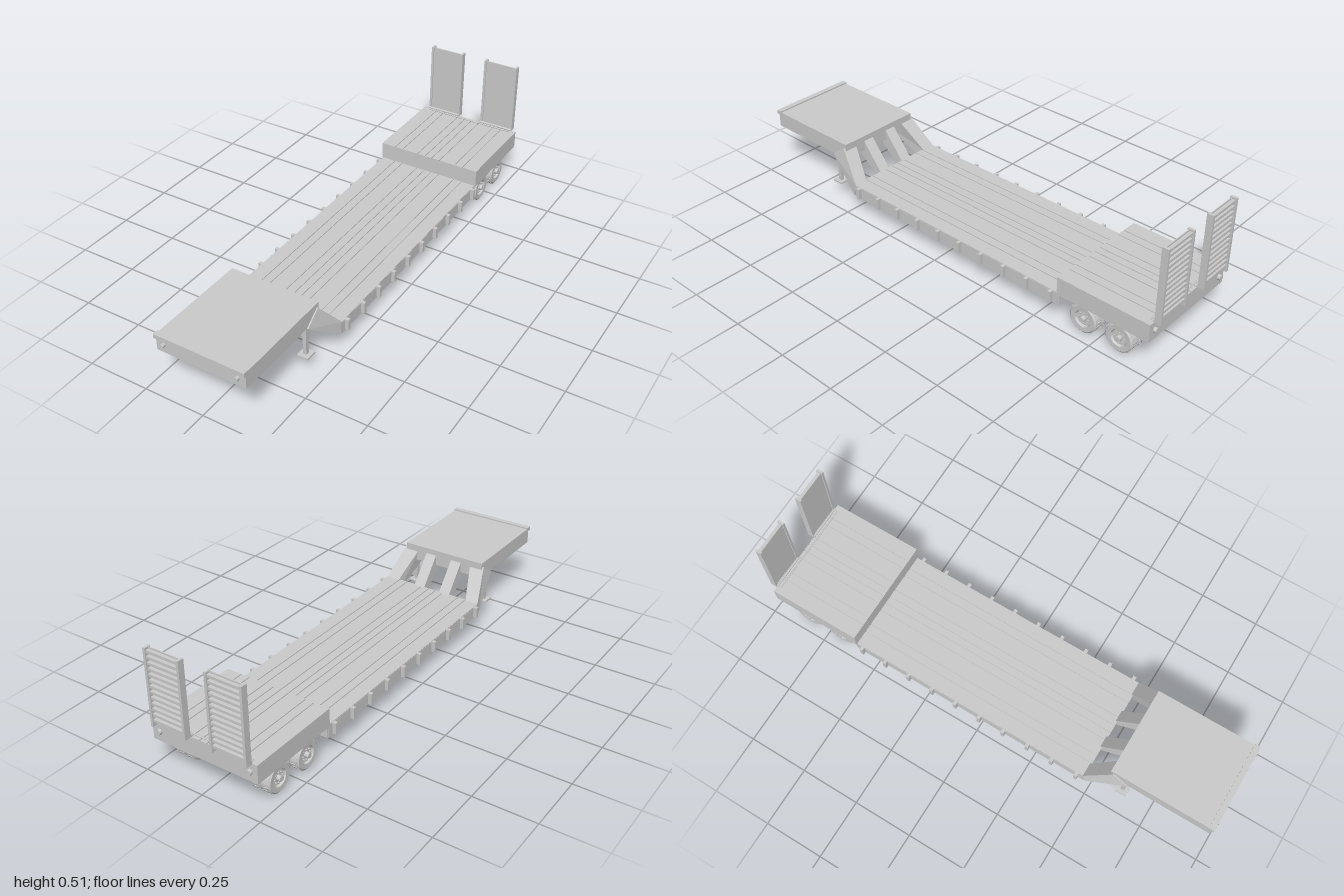
import * as THREE from 'three';
import { toCreasedNormals } from 'three/addons/utils/BufferGeometryUtils.js';

const grey = new THREE.MeshStandardMaterial({ color: 0xcccccc });

function add(parent, name, geometry) {
  const mesh = new THREE.Mesh(geometry, grey);
  mesh.name = name;
  parent.add(mesh);
  return mesh;
}

// Box given by its limits on each axis
function box(parent, name, x0, x1, y0, y1, z0, z1) {
  const g = new THREE.BoxGeometry(x1 - x0, y1 - y0, z1 - z0);
  return add(parent, name, g.translate((x0 + x1) / 2, (y0 + y1) / 2, (z0 + z1) / 2));
}

// Cylinder lying along an axis
function rod(parent, name, r, length, axis, x, y, z, sides = 16) {
  const g = new THREE.CylinderGeometry(r, r, length, sides);
  if (axis === 'x') g.rotateZ(Math.PI / 2);
  if (axis === 'z') g.rotateX(Math.PI / 2);
  return add(parent, name, g.translate(x, y, z));
}

// Sloping arm: each end is { x: [in, out], low: [y, z], high: [y, z] }
function arm(parent, name, front, rear) {
  const g = new THREE.BoxGeometry(1, 1, 1).toNonIndexed();
  const p = g.attributes.position;
  for (let i = 0; i < p.count; i++) {
    const end = p.getZ(i) > 0 ? front : rear;
    const [y, z] = p.getY(i) > 0 ? end.high : end.low;
    p.setXYZ(i, end.x[p.getX(i) > 0 ? 1 : 0], y, z);
  }
  g.computeVertexNormals();
  return add(parent, name, g);
}

// Planks separated by narrow grooves
function planks(parent, y0, y1, z0, z1, half) {
  const seams = [-half, -0.163, -0.126, -0.053, -0.016, 0.016, 0.053, 0.126, 0.163, half];
  for (let i = 0; i < seams.length - 1; i++) {
    const a = seams[i] + (i > 0 ? 0.002 : 0);
    const b = seams[i + 1] - (i < seams.length - 2 ? 0.002 : 0);
    box(parent, 'plank', a, b, y0, y1, z0, z1);
  }
}

function group(parent, name) {
  const g = new THREE.Group();
  g.name = name;
  parent.add(g);
  return g;
}

function buildGooseneck(root) {
  const neck = group(root, 'gooseneck');
  box(neck, 'neckBody', -0.185, 0.185, 0.2, 0.267, 0.56, 0.985);
  box(neck, 'frontLip', -0.187, 0.187, 0.256, 0.273, 0.972, 0.995);
  // Coupling plate with chamfered front corners, and its pin
  const s = new THREE.Shape();
  [[-0.092, 0.79], [0.092, 0.79], [0.092, 0.91], [0.06, 0.94], [-0.06, 0.94], [-0.092, 0.91]]
    .forEach(([x, z], i) => (i ? s.lineTo(x, z) : s.moveTo(x, z)));
  const plate = new THREE.ExtrudeGeometry(s, { depth: 0.014, bevelEnabled: false });
  add(neck, 'couplingPlate', plate.rotateX(Math.PI / 2).translate(0, 0.201, 0));
  rod(neck, 'couplingPin', 0.01, 0.012, 'y', 0, 0.187, 0.87);

  for (const side of [-1, 1]) {
    rod(neck, 'frontConnector', 0.008, 0.015, 'z', side * 0.153, 0.235, 0.9915);
    // Arms running down to the low deck
    const xs = (a, b) => (side > 0 ? [a, b] : [-b, -a]);
    arm(neck, 'outerArm',
      { x: xs(0.125, 0.19), low: [0.2, 0.635], high: [0.25, 0.57] },
      { x: xs(0.166, 0.223), low: [0.079, 0.482], high: [0.129, 0.468] });
    arm(neck, 'innerArm',
      { x: xs(0.037, 0.085), low: [0.201, 0.61], high: [0.25, 0.565] },
      { x: xs(0.037, 0.085), low: [0.085, 0.47], high: [0.129, 0.468] });
    // Landing leg
    const x = side * 0.169;
    box(neck, 'landingLeg', x - 0.007, x + 0.007, 0.07, 0.205, 0.614, 0.63);
    box(neck, 'landingFoot', x - 0.023, x + 0.023, 0.066, 0.073, 0.598, 0.646);
    box(neck, 'landingLegMount', x - 0.011, x + 0.011, 0.155, 0.202, 0.61, 0.634);
  }
}

function buildLowDeck(root) {
  const deck = group(root, 'lowDeck');
  box(deck, 'deckBase', -0.222, 0.222, 0.108, 0.125, -0.585, 0.474);
  planks(deck, 0.1245, 0.129, -0.585, 0.475, 0.222);
  box(deck, 'frontBeam', -0.222, 0.222, 0.077, 0.11, 0.46, 0.474);
  box(deck, 'rearBeam', -0.222, 0.222, 0.077, 0.125, -0.59, -0.575);
  // Underside cross beams
  for (let i = 0; i < 17; i++) {
    const z = 0.405 - i * 0.0585;
    box(deck, 'crossBeam', -0.212, 0.212, 0.083, 0.109, z - 0.008, z + 0.008);
  }
  for (const s of [-1, 1]) {
    const rail = box(deck, 'sideRail', -0.007, 0.007, 0.077, 0.1255, -0.585, 0.475);
    rail.position.x = s * 0.216;
    // Stake pockets along the side
    for (let i = 0; i < 10; i++) {
      const z = 0.443 - i * 0.1108;
      const stake = box(deck, 'stakePocket', -0.009, 0.009, 0.082, 0.128, z - 0.007, z + 0.007);
      stake.position.x = s * 0.229;
    }
  }
}

function buildRearDeck(root) {
  const deck = group(root, 'rearDeck');
  box(deck, 'rearDeckBase', -0.228, 0.228, 0.178, 0.196, -0.973, -0.582);
  planks(deck, 0.1955, 0.2, -0.973, -0.582, 0.228);
  box(deck, 'frontWall', -0.228, 0.228, 0.125, 0.18, -0.594, -0.582);
  box(deck, 'rearWall', -0.228, 0.228, 0.125, 0.18, -0.973, -0.961);
  for (const z of [-0.685, -0.763, -0.841]) {
    box(deck, 'rearCrossBeam', -0.22, 0.22, 0.145, 0.179, z - 0.008, z + 0.008);
  }
  for (const z of [-0.62, -0.763, -0.905]) {
    box(deck, 'chassisCrossMember', -0.08, 0.08, 0.09, 0.13, z - 0.01, z + 0.01);
  }
  for (const s of [-1, 1]) {
    const wall = box(deck, 'sideWall', -0.006, 0.006, 0.125, 0.18, -0.973, -0.582);
    wall.position.x = s * 0.222;
    const beam = box(deck, 'chassisBeam', -0.011, 0.011, 0.074, 0.18, -0.918, -0.605);
    beam.position.x = s * 0.082;
    rod(deck, 'rearLight', 0.011, 0.014, 'z', s * 0.197, 0.165, -0.978);
    rod(deck, 'rampHinge', 0.005, 0.15, 'x', s * 0.13, 0.203, -0.973);
  }
  rod(deck, 'hingeRod', 0.003, 0.4, 'x', 0, 0.202, -0.957, 8);
}

function buildRamp(root, s) {
  const ramp = group(root, s > 0 ? 'leftRamp' : 'rightRamp');
  ramp.position.x = s * 0.13;
  box(ramp, 'rampPlate', -0.07, 0.07, 0.205, 0.503, -0.983, -0.979);
  for (const e of [-1, 1]) {
    const rail = box(ramp, 'rampRail', -0.005, 0.005, 0.198, 0.505, -1, -0.974);
    rail.position.x = e * 0.072;
  }
  // Rungs on the back face
  for (let i = 0; i < 13; i++) {
    const y = 0.222 + i * 0.0225;
    box(ramp, 'rampRung', -0.069, 0.069, y - 0.005, y + 0.005, -0.996, -0.982);
  }
}

// Dual wheel pair, outer side towards +x
function buildWheelPair(root, s, z) {
  const wheel = group(root, 'dualWheel');
  wheel.position.set(s * 0.169, 0.059, z);
  if (s < 0) wheel.rotation.y = Math.PI;
  const profile = [[0, -0.009], [0.03, -0.009], [0.034, -0.018], [0.052, -0.019], [0.058, -0.014],
    [0.059, -0.006], [0.057, -0.005], [0.057, 0.005], [0.059, 0.006], [0.058, 0.014],
    [0.052, 0.019], [0.034, 0.018], [0.03, 0.009], [0, 0.009]]
    .map(([r, y]) => new THREE.Vector2(r, y));
  for (const x of [-0.022, 0.022]) {
    const g = new THREE.LatheGeometry(profile, 32).rotateZ(-Math.PI / 2);
    add(wheel, 'tyre', toCreasedNormals(g, 0.6)).position.x = x;
    // Tread blocks
    for (let i = 0; i < 24; i++) {
      const block = box(wheel, 'treadBlock', -0.014, 0.014, 0.055, 0.0595, -0.005, 0.005);
      block.position.x = x;
      block.rotation.x = (i / 24) * Math.PI * 2;
    }
  }
  rod(wheel, 'hub', 0.011, 0.02, 'x', 0.038, 0, 0);
  for (let i = 0; i < 8; i++) {
    const a = (i / 8) * Math.PI * 2;
    rod(wheel, 'wheelNut', 0.0032, 0.008, 'x', 0.034, Math.cos(a) * 0.021, Math.sin(a) * 0.021, 6);
  }
}

export function createModel() {
  const root = new THREE.Group();
  root.name = 'lowLoaderTrailer';
  buildGooseneck(root);
  buildLowDeck(root);
  buildRearDeck(root);
  for (const s of [-1, 1]) buildRamp(root, s);
  // Two axles with dual wheels and suspension hangers
  for (const z of [-0.686, -0.841]) {
    rod(root, 'axle', 0.01, 0.34, 'x', 0, 0.059, z);
    for (const s of [-1, 1]) {
      buildWheelPair(root, s, z);
      const hanger = box(root, 'axleHanger', -0.01, 0.01, 0.055, 0.1, z - 0.015, z + 0.015);
      hanger.position.x = s * 0.082;
    }
  }
  return root;
}
